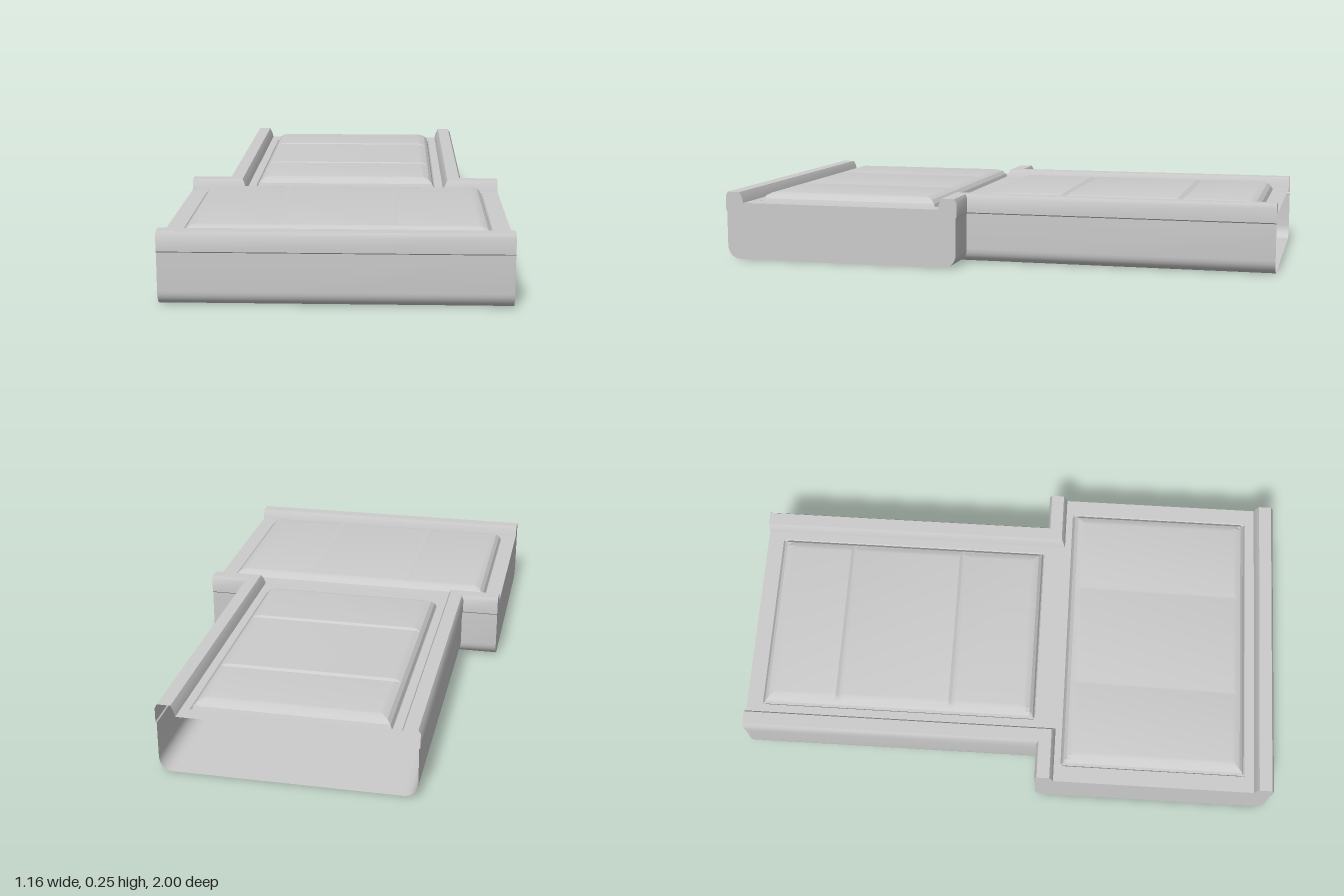
import * as THREE from 'three';
import { toCreasedNormals } from 'three/addons/utils/BufferGeometryUtils.js';

const HALF = 0.58, STEM = 0.445, REAR = 0.11; // half width, stem half width, rear wall of the cross bar
const FLOOR_IN = 0.07, BASE_IN = 0.05, FLOOR_Y = 0.21;

// Wall section: [offset from the outer face, height], from base to inner floor edge
const section = [];
for (let i = 0; i <= 6; i++) {
  const a = (i / 6) * Math.PI / 2;
  section.push([-BASE_IN + 0.046 * Math.sin(a), 0.05 * (1 - Math.cos(a))]);
}
section.push([-0.004, 0.18], [0, 0.184], [0, 0.235], [-0.008, 0.25],
  [-0.055, 0.25], [-0.063, 0.235], [-FLOOR_IN, FLOOR_Y]);

export function createModel() {
  const group = new THREE.Group();
  const material = new THREE.MeshStandardMaterial({ color: 0xcccccc, side: THREE.DoubleSide });

  const add = (name, geometry, crease = 0.5) => {
    const mesh = new THREE.Mesh(toCreasedNormals(geometry, crease), material);
    mesh.name = name;
    group.add(mesh);
    return mesh;
  };

  // Grid of points, rows by columns, turned into a surface
  const gridGeometry = (rows) => {
    const geometry = new THREE.BufferGeometry();
    const index = [], n = rows[0].length;
    for (let i = 0; i < rows.length - 1; i++) {
      for (let j = 0; j < n - 1; j++) {
        const a = i * n + j, b = a + n;
        index.push(a, b, b + 1, a, b + 1, a + 1);
      }
    }
    geometry.setAttribute('position', new THREE.Float32BufferAttribute(rows.flat(2), 3));
    geometry.setIndex(index);
    geometry.computeVertexNormals();
    return geometry;
  };

  // Sweep the wall section along a right-angled [x, z] path with mitred corners
  const wall = (name, path) => {
    const normals = path.slice(1).map(([x, z], i) =>
      [-Math.sign(z - path[i][1]), Math.sign(x - path[i][0])]);
    const rows = path.map(([x, z], i) => {
      const p = normals[i - 1] ?? [0, 0], q = normals[i] ?? [0, 0];
      return section.map(([d, y]) => [x + d * (p[0] + q[0]), y, z + d * (p[1] + q[1])]);
    });
    add(name, gridGeometry(rows));
  };
  wall('frontWall', [[-HALF, 1], [HALF, 1]]);
  wall('rightWall', [[-STEM, -1], [-STEM, REAR], [-HALF, REAR]]);
  wall('leftWall', [[HALF, REAR], [STEM, REAR], [STEM, -1]]);

  // T-shaped outline inset from the walls; s flips z for the upper sheet
  const outline = (inset, s) => new THREE.Shape([
    [-HALF, 1 - inset], [HALF, 1 - inset], [HALF, REAR + inset], [STEM - inset, REAR + inset],
    [STEM - inset, -1], [-STEM + inset, -1], [-STEM + inset, REAR + inset], [-HALF, REAR + inset],
  ].map(([x, z]) => new THREE.Vector2(x, z * s)));

  add('base', new THREE.ShapeGeometry(outline(BASE_IN, 1)).rotateX(Math.PI / 2));

  // Raised panels: half width, half length, centre z, groove positions across the length
  const panels = [
    { name: 'frontPanel', w: 0.345, l: 0.52, z: 0.55, turn: true, grooves: [-0.2, 0.19], depth: 0.002 },
    { name: 'stemPanel', w: 0.345, l: 0.52, z: -0.42, turn: false, grooves: [-0.23, 0.2], depth: 0.007 },
  ];

  // Floor sheet, open beneath the panels
  const floor = outline(FLOOR_IN, -1);
  for (const { w, l, z, turn } of panels) {
    const hx = turn ? l : w, hz = turn ? w : l;
    floor.holes.push(new THREE.Path([[-hx, -hz], [-hx, hz], [hx, hz], [hx, -hz]]
      .map(([x, y]) => new THREE.Vector2(x, y - z))));
  }
  add('floor', new THREE.ShapeGeometry(floor).rotateX(-Math.PI / 2).translate(0, FLOOR_Y, 0));

  // Panel edge: [distance in, height]
  const edge = [[0, 0.21], [0.004, 0.204], [0.01, 0.22], [0.022, 0.233], [0.038, 0.24], [0.05, 0.242]];
  const stops = (half, grooves, depth) => [
    ...edge.map(([d, y]) => [-half + d, y]),
    ...grooves.flatMap((g) => [[g - 0.012, 0.242], [g, 0.242 - depth], [g + 0.012, 0.242]]),
    ...edge.map(([d, y]) => [half - d, y]).reverse(),
  ];
  for (const { name, w, l, z, turn, grooves, depth } of panels) {
    const across = stops(w, [], 0), along = stops(l, grooves, depth);
    const rows = along.map(([v, hv]) => across.map(([u, hu]) => [u, Math.min(hu, hv), v]));
    const geometry = gridGeometry(rows);
    if (turn) geometry.rotateY(Math.PI / 2);
    geometry.translate(0, 0, z);
    add(name, geometry, 0.35);
  }

  // Flat ends of the cross bar
  const endShape = new THREE.Shape([
    ...section.map(([d, y]) => new THREE.Vector2(-(1 + d), y)),
    ...section.map(([d, y]) => new THREE.Vector2(-(REAR - d), y)).reverse(),
  ]);
  for (const side of [-1, 1]) {
    const end = new THREE.ShapeGeometry(endShape).rotateY(Math.PI / 2);
    if (side < 0) end.setIndex([...end.index.array].reverse());
    end.computeVertexNormals();
    end.translate(side * HALF, 0, 0);
    add(side < 0 ? 'rightEnd' : 'leftEnd', end);
  }
  return group;
}
